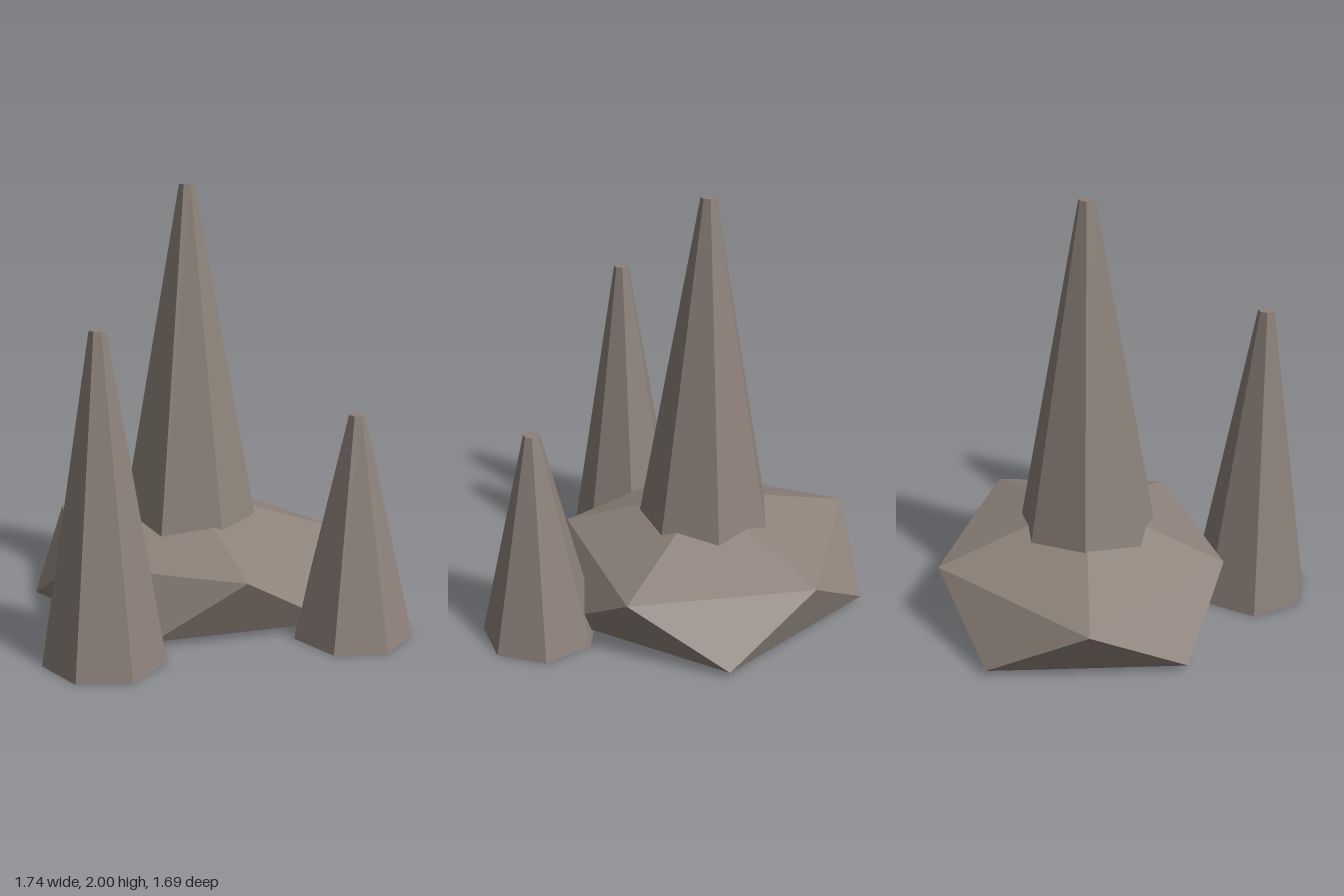
import * as THREE from 'three';

const stone = new THREE.MeshStandardMaterial({ color: 0x8d827a, flatShading: true });

// Seven-sided tapered spire standing on the ground
function spire(name, x, z, radius, height) {
  const geometry = new THREE.CylinderGeometry(0.037, radius, height, 7, 1, false, Math.PI);
  const mesh = new THREE.Mesh(geometry, stone);
  mesh.name = name;
  mesh.position.set(x, height / 2, z);
  return mesh;
}

// Irregular squashed icosahedron with a flattened underside
function boulder() {
  const ring = (radii, y, turn) => radii.map((r, i) => {
    const a = (i + turn) * Math.PI * 2 / 5;
    return new THREE.Vector3(r * Math.cos(a), y, r * Math.sin(a));
  });
  const apex = new THREE.Vector3(0, 0.54, 0);
  const base = new THREE.Vector3(0, 0.02, 0);
  const upper = ring([0.755, 0.7, 0.67, 0.79, 0.725], 0.313, 0);
  const lower = ring([0.786, 0.65, 0.755, 0.78, 0.773], 0.03, 0.5);

  const points = [];
  for (let i = 0; i < 5; i++) {
    const j = (i + 1) % 5;
    points.push(apex, upper[j], upper[i]);
    points.push(upper[i], upper[j], lower[i]);
    points.push(lower[i], upper[j], lower[j]);
    points.push(base, lower[i], lower[j]);
  }
  const geometry = new THREE.BufferGeometry().setFromPoints(points);
  geometry.computeVertexNormals();
  const mesh = new THREE.Mesh(geometry, stone);
  mesh.name = 'boulder';
  mesh.position.set(-0.115, 0, -0.11);
  return mesh;
}

export function createModel() {
  const group = new THREE.Group();
  group.name = 'rockSpires';
  group.add(
    boulder(),
    spire('tallSpire', -0.122, -0.11, 0.4, 2),
    spire('rightSpire', -0.53, 0.59, 0.277, 1.46),
    spire('leftSpire', 0.595, 0.395, 0.277, 1.03),
  );
  return group;
}
